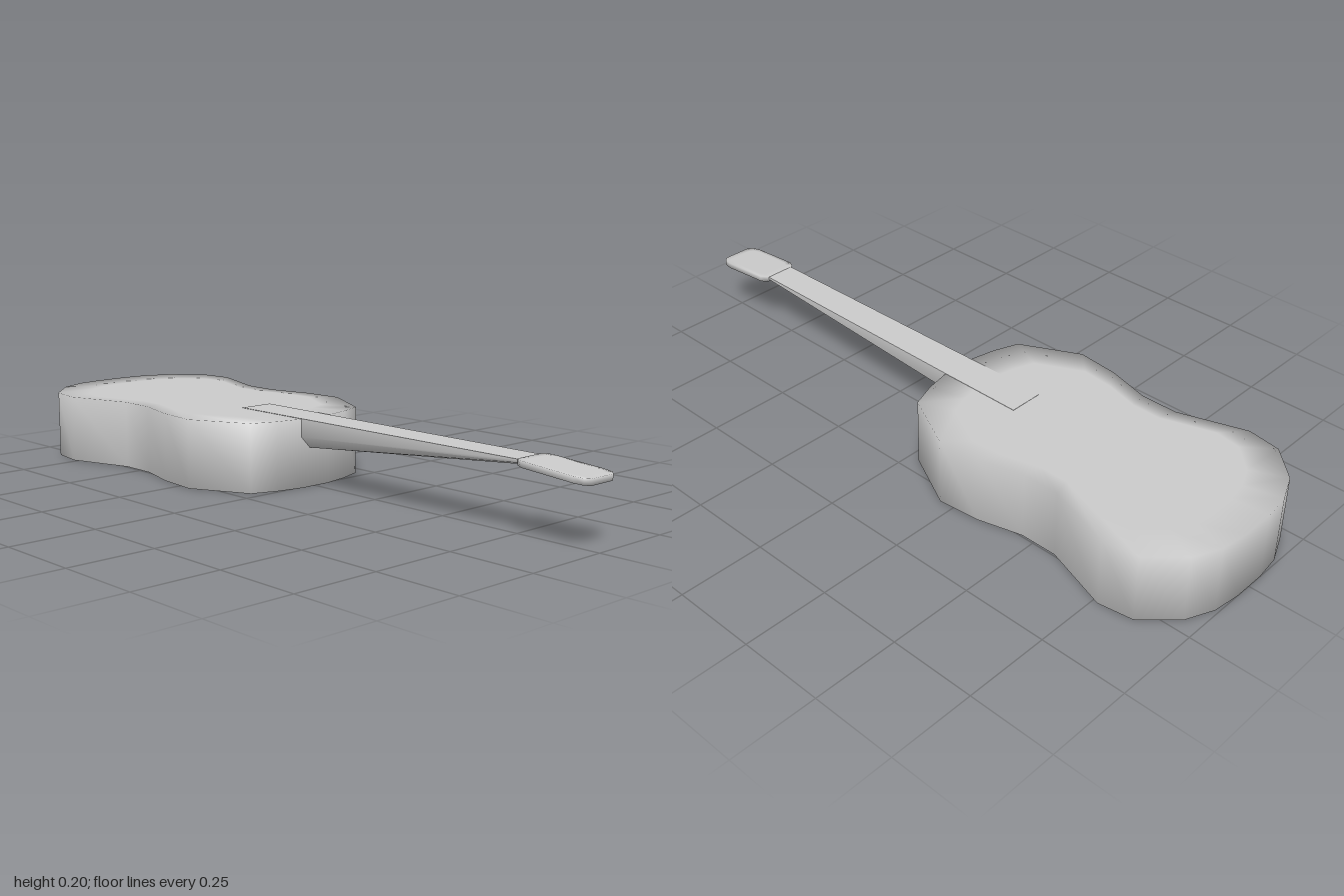
import * as THREE from 'three';
import { mergeVertices, toCreasedNormals } from 'three/addons/utils/BufferGeometryUtils.js';

const material = new THREE.MeshStandardMaterial({ color: 0xcccccc });

// Skin a list of closed rings; a ring shrunk to one point closes the end.
function loft(rings) {
  const n = rings[0].length;
  const pos = [];
  const tri = (a, b, c) => {
    if (a.distanceTo(b) > 1e-6 && b.distanceTo(c) > 1e-6 && c.distanceTo(a) > 1e-6) {
      for (const p of [a, b, c]) pos.push(p.x, p.y, p.z);
    }
  };
  for (let r = 0; r < rings.length - 1; r++) {
    const a = rings[r], b = rings[r + 1];
    for (let i = 0; i < n; i++) {
      const j = (i + 1) % n;
      tri(a[i], b[i], b[j]);
      tri(a[i], b[j], a[j]);
    }
  }
  const g = new THREE.BufferGeometry();
  g.setAttribute('position', new THREE.Float32BufferAttribute(pos, 3));
  const merged = mergeVertices(g, 1e-5);
  merged.computeVertexNormals();
  return merged;
}

// Slab with a mirrored plan outline; half runs from the back to the front on +x.
function slab(half, midZ, inset, bottom, top) {
  const outline = [...half, ...half.slice().reverse().map(([x, z]) => [-x, z])];
  const ring = (s, height) => outline.map(([x, z]) => {
    const pz = midZ + (z - midZ) * s;
    return new THREE.Vector3(x * s, height(pz), pz);
  });
  return loft([
    ring(0, bottom), ring(inset, bottom), ring(1, bottom),
    ring(1, top), ring(inset, top), ring(0, top),
  ]);
}

export function createModel() {
  const group = new THREE.Group();
  const add = (name, geometry) => {
    const mesh = new THREE.Mesh(geometry, material);
    mesh.name = name;
    group.add(mesh);
  };

  // Waisted body with softly shaded rims
  const bodyHalf = [
    [0.05, -1.0], [0.13, -0.99], [0.21, -0.955], [0.295, -0.865], [0.31, -0.765],
    [0.245, -0.57], [0.245, -0.46], [0.28, -0.33], [0.292, -0.205],
    [0.205, -0.035], [0.13, -0.008], [0.05, 0.008],
  ];
  add('body', slab(bodyHalf, -0.5, 0.78, () => 0, () => 0.2));

  // Tapering neck, flat on top and faceted beneath, let into the body
  const neckRing = (z, w, mid, low, lowW) => [
    [-w, 0.201], [w, 0.201], [w, mid], [lowW, low], [-lowW, low], [-w, mid],
  ].map(([x, y]) => new THREE.Vector3(x, y, z));
  const point = (z) => Array.from({ length: 6 }, () => new THREE.Vector3(0, 0.193, z));
  const neck = loft([
    point(-0.25),
    neckRing(-0.25, 0.053, 0.147, 0.113, 0.02),
    neckRing(0, 0.052, 0.147, 0.113, 0.02),
    neckRing(0.8, 0.045, 0.194, 0.186, 0.02),
    point(0.8),
  ]);
  add('neck', toCreasedNormals(neck, THREE.MathUtils.degToRad(50)));

  // Head, tipped down toward its end
  const headHalf = [
    [0.05, 0.785], [0.061, 0.805], [0.062, 0.96], [0.056, 0.988], [0.042, 1.0],
  ];
  const headTop = (z) => 0.204 - (z - 0.785) * 0.08;
  add('head', slab(headHalf, 0.89, 0.8, (z) => headTop(z) - 0.017, headTop));

  return group;
}
